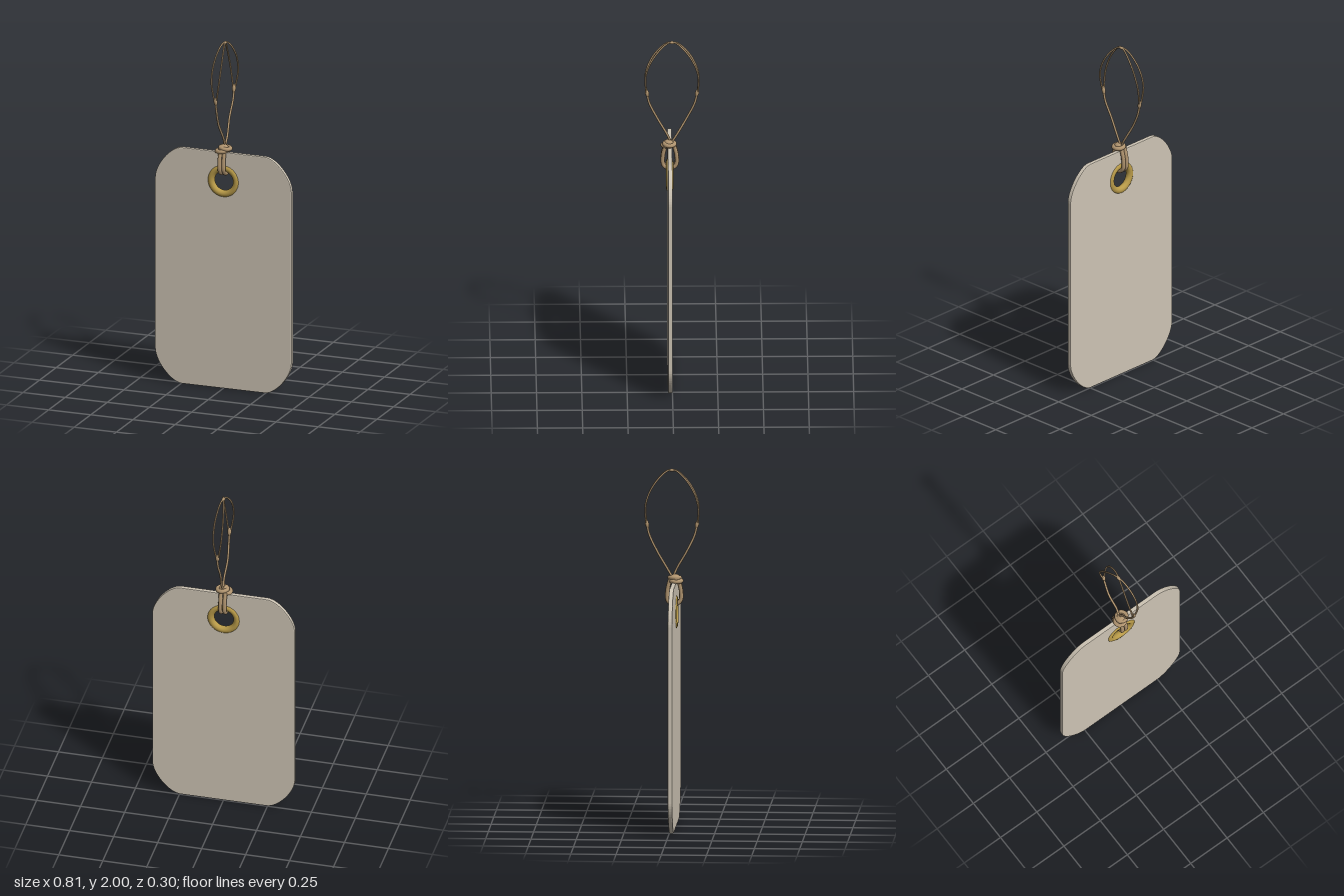
import * as THREE from 'three';

const paper = new THREE.MeshStandardMaterial({ color: 0xcdc4b4 });
paper.name = 'paper';
const brass = new THREE.MeshStandardMaterial({ color: 0xb89a48 });
brass.name = 'brass';
const twine = new THREE.MeshStandardMaterial({ color: 0xb0946f });
twine.name = 'twine';

const MID = 0.0125; // centre plane of the tag in z
const HOLE_Y = 1.2;

function add(group, name, geometry, material) {
  const mesh = new THREE.Mesh(geometry, material);
  mesh.name = name;
  group.add(mesh);
  return mesh;
}

function cord(points, radius, closed = false) {
  const curve = new THREE.CatmullRomCurve3(points.map((p) => new THREE.Vector3(...p)), closed);
  return new THREE.TubeGeometry(curve, 56, radius, 8, closed);
}

// Rectangle with softened, cut corners and a round hole
function tagShape() {
  const w = 0.4, y0 = 0.008, y1 = 1.362, cx = 0.155, cy = 0.185, k = 0.4;
  const s = new THREE.Shape();
  s.moveTo(-w + cx, y0);
  s.lineTo(w - cx, y0);
  s.bezierCurveTo(w - cx * (1 - k), y0, w, y0 + cy * (1 - k), w, y0 + cy);
  s.lineTo(w, y1 - cy);
  s.bezierCurveTo(w, y1 - cy * (1 - k), w - cx * (1 - k), y1, w - cx, y1);
  s.lineTo(-w + cx, y1);
  s.bezierCurveTo(-w + cx * (1 - k), y1, -w, y1 - cy * (1 - k), -w, y1 - cy);
  s.lineTo(-w, y0 + cy);
  s.bezierCurveTo(-w, y0 + cy * (1 - k), -w + cx * (1 - k), y0, -w + cx, y0);
  const hole = new THREE.Path();
  hole.absarc(0, HOLE_Y, 0.07, 0, Math.PI * 2, true);
  s.holes.push(hole);
  return s;
}

export function createModel() {
  const model = new THREE.Group();
  model.name = 'hangTag';

  // Tag plate
  const plate = new THREE.ExtrudeGeometry(tagShape(), {
    depth: 0.015, bevelThickness: 0.005, bevelSize: 0.005, bevelSegments: 2, curveSegments: 16,
  });
  plate.translate(0, 0, 0.005);
  add(model, 'tagPlate', plate, paper);

  // Eyelet: a flattened ring through the hole
  const eyelet = new THREE.TorusGeometry(0.075, 0.02, 16, 48);
  eyelet.scale(1, 1, 1);
  add(model, 'eyelet', eyelet, brass).position.set(0, HOLE_Y, MID);

  // Twin strands looped through the eyelet and over the tag's top edge
  for (const side of [-1, 1]) {
    const x = side * 0.012;
    add(model, 'hitchStrand', cord([
      [x, 1.385, 0.035], [x, 1.32, 0.05], [x, 1.265, 0.047], [x, 1.243, MID],
      [x, 1.265, -0.022], [x, 1.32, -0.025], [x, 1.385, -0.01],
    ], 0.0115), twine);
  }

  // Knot: two offset wraps round a flattened core
  const wraps = [[-0.008, 1.376, 0.024, 0.1], [0.009, 1.391, 0.014, -0.1]];
  for (const [x, y, z, tilt] of wraps) {
    const wrap = add(model, 'knotWrap', new THREE.TorusGeometry(0.028, 0.012, 10, 32), twine);
    wrap.rotation.set(Math.PI / 2, tilt, 0);
    wrap.position.set(x, y, z);
  }
  const core = add(model, 'knotCore', new THREE.SphereGeometry(0.03, 20, 12), twine);
  core.scale.y = 0.85;
  core.position.set(0, 1.387, 0.018);

  // Hanging loop: each half is one strand that parts in two toward the top
  for (const f of [-1, 1]) {
    const half = new THREE.Group();
    half.name = f > 0 ? 'frontLoopHalf' : 'backLoopHalf';
    model.add(half);
    add(half, 'lowerStrand', cord([
      [0, 1.39, 0.005], [0.004, 1.44, f * 0.025], [-0.004, 1.54, f * 0.082], [0, 1.63, f * 0.125], [0, 1.7, f * 0.141],
    ], 0.0065), twine);
    for (const side of [-1, 1]) {
      add(half, 'upperStrand', cord([
        [0, 1.67, f * 0.136], [side * 0.012, 1.73, f * 0.145], [side * 0.022, 1.8, f * 0.145],
        [side * 0.024, 1.88, f * 0.118], [side * 0.017, 1.95, f * 0.07], [side * 0.007, 1.989, f * 0.025], [0, 1.994, 0],
      ], 0.005), twine);
    }
    // Small swelling where the strands join
    const join = add(half, 'strandJoin', new THREE.SphereGeometry(0.011, 12, 10), twine);
    join.scale.y = 2.2;
    join.rotation.x = f * 0.2;
    join.position.set(0, 1.69, f * 0.138);
  }
  const crown = add(model, 'loopCrown', new THREE.SphereGeometry(0.01, 12, 8), twine);
  crown.scale.set(1, 0.8, 1.8);
  crown.position.set(0, 1.992, 0);

  return model;
}
